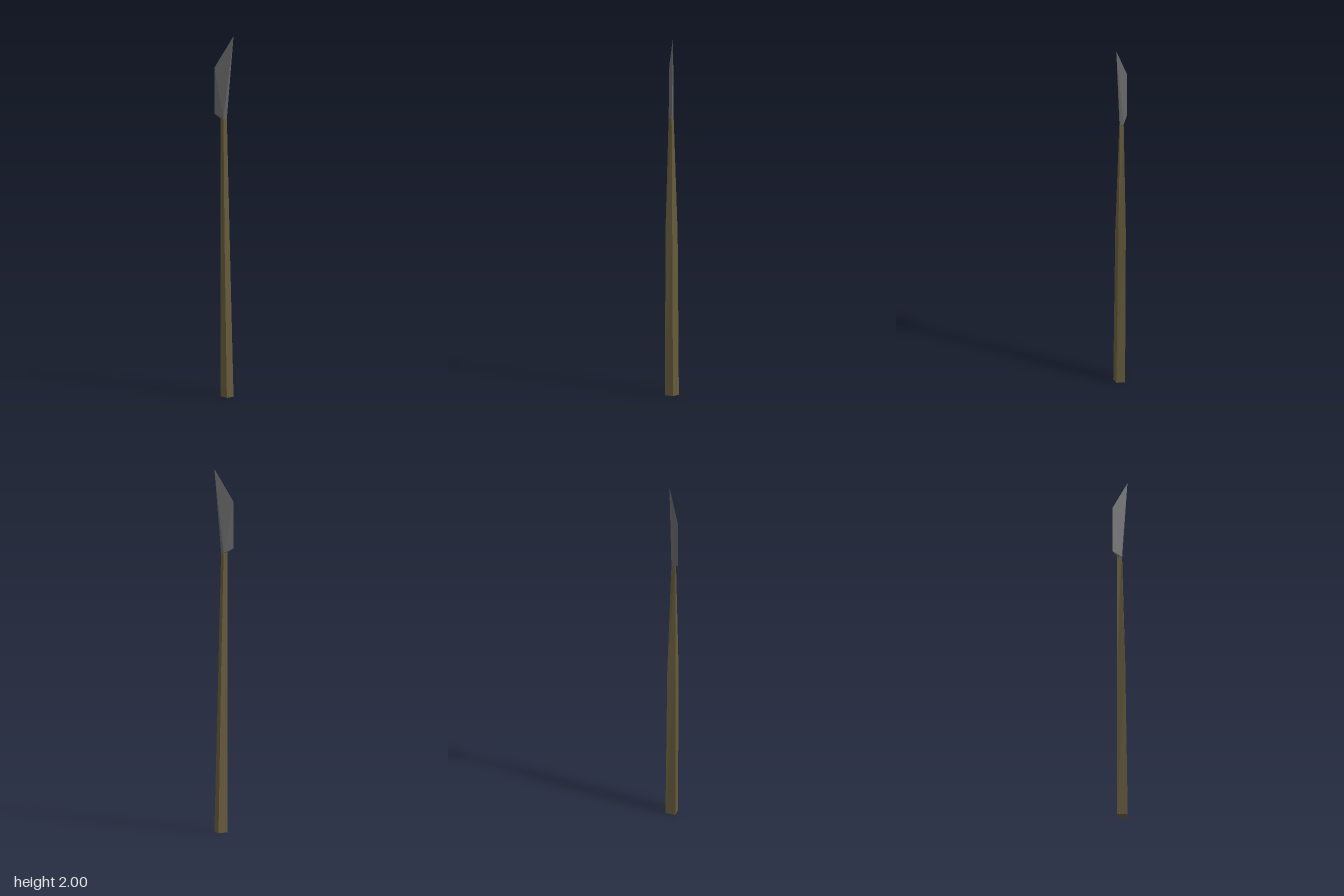
import * as THREE from 'three';

// Triangle list (arrays of points) to a flat-faced mesh
function facetMesh(name, triangles, material) {
  const geometry = new THREE.BufferGeometry();
  geometry.setAttribute('position', new THREE.Float32BufferAttribute(triangles.flat(2), 3));
  geometry.computeVertexNormals();
  const mesh = new THREE.Mesh(geometry, material);
  mesh.name = name;
  return mesh;
}

// Diamond cross-section: right, front, left, back
const diamond = (y, left, right, mid, depth) => [
  [right, y, 0], [mid, y, depth], [left, y, 0], [mid, y, -depth],
];

export function createModel() {
  const wood = new THREE.MeshStandardMaterial({ color: 0x655a3c });
  wood.name = 'dark wood';
  const steel = new THREE.MeshStandardMaterial({ color: 0x666666 });
  steel.name = 'grey steel';

  const group = new THREE.Group();
  group.name = 'poleBlade';

  // Tapering shaft, straight along its left edge
  const rings = [
    diamond(0, -0.02, 0.053, 0.024, 0.038),
    diamond(0.9, -0.02, 0.031, 0.01, 0.034),
    diamond(1.54, -0.019, 0.016, 0, 0.014),
  ];
  const shaft = [];
  for (let i = 0; i < rings.length - 1; i++) {
    for (let j = 0; j < 4; j++) {
      const k = (j + 1) % 4;
      const [a, b, c, d] = [rings[i][j], rings[i][k], rings[i + 1][k], rings[i + 1][j]];
      shaft.push([a, d, b], [b, d, c]);
    }
  }
  const [r, f, l, b] = rings[0];
  shaft.push([r, f, l], [r, l, b]); // butt
  group.add(facetMesh('shaft', shaft, wood));

  // Blade: outline fans out from the thick point at the socket, mirrored front to back
  const [right, front, left, back] = rings[2];
  const outline = [right, [0.053, 2, 0], [-0.053, 1.82, 0], [-0.053, 1.565, 0], left];
  const blade = [[right, front, left], [right, left, back]];
  for (let i = 0; i < outline.length - 1; i++) {
    blade.push([front, outline[i], outline[i + 1]]);
    blade.push([back, outline[i + 1], outline[i]]);
  }
  group.add(facetMesh('blade', blade, steel));

  return group;
}
